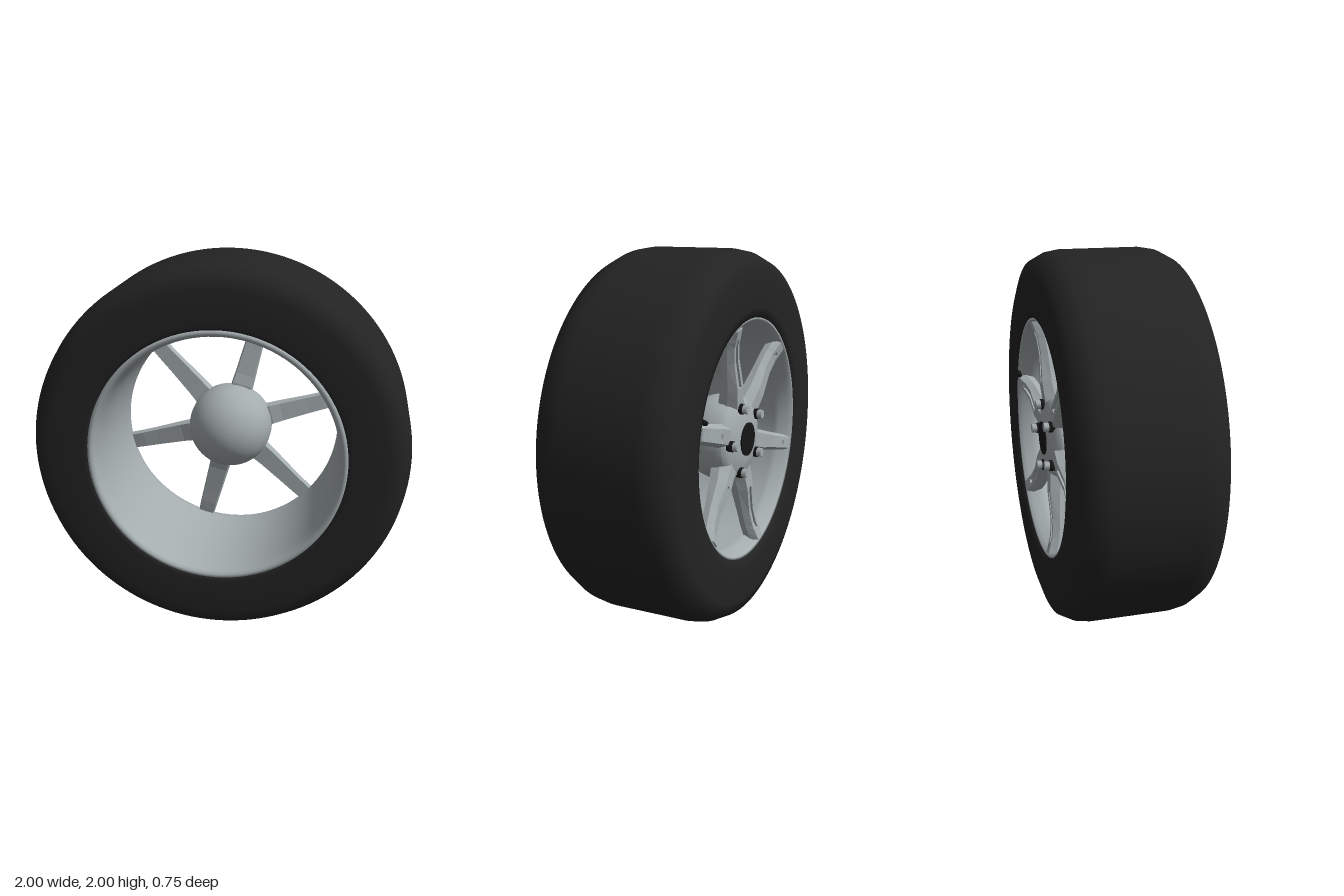
import * as THREE from 'three';

const rubber = new THREE.MeshStandardMaterial({ color: 0x232323, name: 'rubber' });
const alloy = new THREE.MeshStandardMaterial({ color: 0xa4acae, name: 'alloy', side: THREE.DoubleSide });
const black = new THREE.MeshStandardMaterial({ color: 0x151515, name: 'black' });

// Revolves [radius, z] points around the axle
function revolve(name, points, material, segments = 96) {
  const geometry = new THREE.LatheGeometry(points.map(([r, z]) => new THREE.Vector2(r, z)), segments);
  geometry.rotateX(Math.PI / 2);
  const mesh = new THREE.Mesh(geometry, material);
  mesh.name = name;
  return mesh;
}

// Cylinder lying along the axle
function disc(name, radius, depth, sides, material) {
  const geometry = new THREE.CylinderGeometry(radius, radius, depth, sides);
  geometry.rotateX(Math.PI / 2);
  const mesh = new THREE.Mesh(geometry, material);
  mesh.name = name;
  return mesh;
}

// Spoke along +x, lofted through [radius, halfWidth, frontZ, backZ, grooveDepth]
function spokeGeometry() {
  const stations = [
    [0.12, 0.068, -0.22, -0.315, 0],
    [0.24, 0.062, -0.22, -0.325, 0],
    [0.30, 0.059, -0.235, -0.33, 0],
    [0.302, 0.059, -0.235, -0.33, 0.012],
    [0.45, 0.053, -0.255, -0.325, 0.012],
    [0.54, 0.05, -0.265, -0.335, 0.012],
    [0.57, 0.049, -0.27, -0.345, 0.012],
    [0.572, 0.049, -0.27, -0.345, 0],
    [0.628, 0.046, -0.28, -0.362, 0],
  ];
  const positions = [], index = [], n = 10, g = 0.013;
  for (const [r, w, front, back, d] of stations) {
    const mid = (front + back) / 2;
    const section = [[-w * 0.85, front], [w * 0.85, front], [w, mid], [w * 0.65, back], [g, back],
      [g, back + d], [-g, back + d], [-g, back], [-w * 0.65, back], [-w, mid]];
    for (const [y, z] of section) positions.push(r, y, z);
  }
  for (let i = 0; i < stations.length - 1; i++) {
    for (let j = 0; j < n; j++) {
      const a = i * n + j, b = i * n + (j + 1) % n, c = b + n, e = a + n;
      index.push(a, e, c, a, c, b);
    }
  }
  const last = (stations.length - 1) * n;
  for (let k = 1; k < n - 1; k++) index.push(last, last + k + 1, last + k);
  const indexed = new THREE.BufferGeometry();
  indexed.setAttribute('position', new THREE.Float32BufferAttribute(positions, 3));
  indexed.setIndex(index);
  const geometry = indexed.toNonIndexed();
  geometry.computeVertexNormals();
  return geometry;
}

export function createModel() {
  const wheel = new THREE.Group();
  wheel.name = 'wheel';
  wheel.position.y = 1;

  // Tyre with chamfered shoulders
  wheel.add(revolve('tyre', [
    [0.645, -0.33], [0.65, -0.365], [0.70, -0.375], [0.88, -0.375], [0.95, -0.352], [0.988, -0.28], [1, -0.21],
    [1, 0], [1, 0.21], [0.988, 0.28], [0.95, 0.352], [0.88, 0.375], [0.70, 0.375], [0.675, 0.365], [0.665, 0.33],
  ], rubber, 128));

  // Rim barrel with rolled lips at both ends
  wheel.add(revolve('rim', [
    [0.675, 0.34], [0.68, 0.365], [0.672, 0.376], [0.658, 0.376], [0.646, 0.362], [0.638, 0.33],
    [0.63, 0.26], [0.622, 0], [0.607, -0.26], [0.607, -0.29], [0.628, -0.335], [0.636, -0.358], [0.648, -0.362],
    [0.652, -0.34],
  ], alloy));

  // Domed hub, with a shallow tapered face at the back
  const dome = [];
  for (let i = 0; i <= 16; i++) {
    const a = (i / 16) * Math.PI / 2;
    dome.push([0.233 * Math.cos(a), -0.2 + 0.233 * Math.sin(a)]);
  }
  wheel.add(revolve('hubDome', dome, alloy, 48));
  wheel.add(revolve('hubSide', [[0.222, -0.285], [0.233, -0.255], [0.233, -0.2]], alloy, 48));
  wheel.add(revolve('hubFace', [[0, -0.34], [0.1, -0.34], [0.2, -0.318], [0.222, -0.285]], alloy, 48));
  const cap = disc('hubCap', 0.09, 0.02, 40, black);
  cap.position.z = -0.337;
  wheel.add(cap);

  // Six grooved spokes
  const spokeShape = spokeGeometry();
  for (let i = 0; i < 6; i++) {
    const spoke = new THREE.Mesh(spokeShape, alloy);
    spoke.name = 'spoke';
    spoke.rotation.z = Math.PI / 12 + i * Math.PI / 3;
    wheel.add(spoke);
  }

  // Five lug nuts on dark seats
  for (let i = 0; i < 5; i++) {
    const a = i * Math.PI * 2 / 5;
    const lug = new THREE.Group();
    lug.name = 'lugNut';
    const seat = disc('lugSeat', 0.029, 0.03, 16, black);
    const nut = disc('lugHead', 0.025, 0.06, 6, alloy);
    nut.position.z = -0.012;
    lug.add(seat, nut);
    lug.position.set(Math.cos(a) * 0.183, Math.sin(a) * 0.183, -0.325);
    wheel.add(lug);
  }

  // Valve stem at the back edge of the rim
  const valve = new THREE.Mesh(new THREE.CylinderGeometry(0.013, 0.016, 0.06, 12), black);
  valve.name = 'valveStem';
  const va = Math.PI * 0.113;
  valve.position.set(Math.cos(va) * 0.63, Math.sin(va) * 0.63, -0.36);
  valve.rotation.z = va + Math.PI / 2;
  wheel.add(valve);

  const model = new THREE.Group();
  model.name = 'wheelModel';
  model.add(wheel);
  return model;
}
